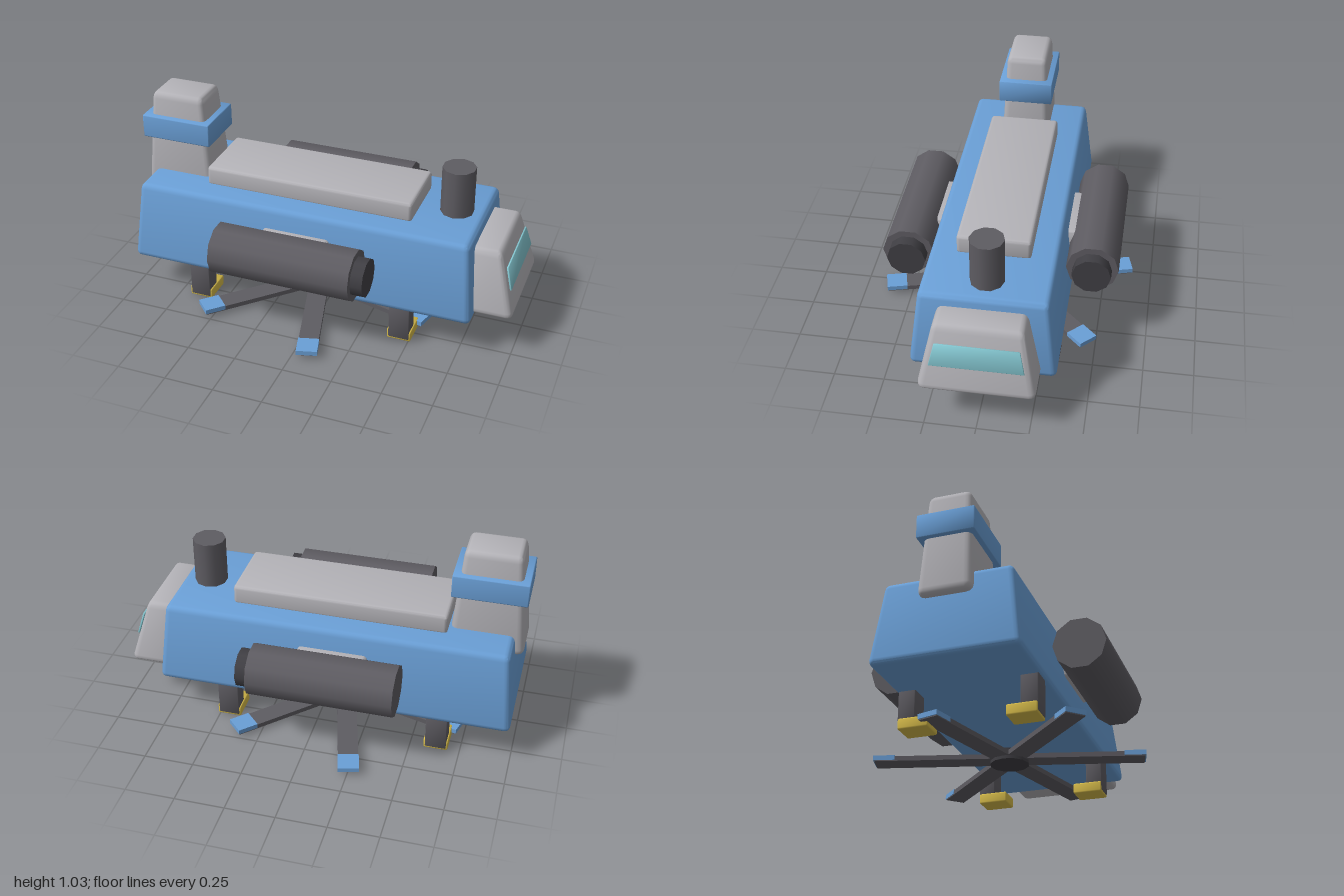
import * as THREE from 'three';
import { toCreasedNormals } from 'three/addons/utils/BufferGeometryUtils.js';
import { RoundedBoxGeometry } from 'three/addons/geometries/RoundedBoxGeometry.js';

const mat = (name, color) => {
  const m = new THREE.MeshStandardMaterial({ color });
  m.name = name;
  return m;
};

export function createModel() {
  const blue = mat('hull blue', 0x6a9fd6);
  const grey = mat('light grey', 0xb4b3b8);
  const dark = mat('dark grey', 0x5e5c62);
  const black = mat('charcoal', 0x403f44);
  const yellow = mat('yellow', 0xd6bb4a);
  const teal = mat('window teal', 0x84c6d0);

  const root = new THREE.Group();
  root.name = 'hovercraft';

  const add = (name, geometry, material, x, y, z, parent = root) => {
    const mesh = new THREE.Mesh(geometry, material);
    mesh.name = name;
    mesh.position.set(x, y, z);
    parent.add(mesh);
    return mesh;
  };

  // Bevelled box whose upper end narrows to topW x topD and may slide in x
  const taperBox = (w, h, d, r, topW = w, topD = d, shift = 0) => {
    const g = new RoundedBoxGeometry(w, h, d, 2, r);
    const p = g.attributes.position;
    for (let i = 0; i < p.count; i++) {
      const t = p.getY(i) / h + 0.5;
      p.setX(i, p.getX(i) * THREE.MathUtils.lerp(1, topW / w, t) + shift * t);
      p.setZ(i, p.getZ(i) * THREE.MathUtils.lerp(1, topD / d, t));
    }
    return toCreasedNormals(g, 0.7);
  };

  // Hull and roof slab
  add('hull', taperBox(1.8, 0.415, 0.71, 0.03, 1.72, 0.61), blue, -0.09, 0.395, 0);
  add('roofSlab', taperBox(1.08, 0.105, 0.36, 0.018), grey, -0.09, 0.643, 0);

  // Cab with a sloping nose and window
  add('cab', taperBox(0.25, 0.335, 0.565, 0.035, 0.15, 0.42, -0.045), grey, 0.875, 0.3775, 0);
  const cabWindow = add('cabWindow', taperBox(0.009, 0.114, 0.445, 0.003, 0.009, 0.395),
    teal, 0.953, 0.405, 0);
  cabWindow.rotation.z = Math.atan2(0.09, 0.335);

  // Tail tower with its band
  add('tailTower', taperBox(0.375, 0.54, 0.26, 0.035, 0.275, 0.208), grey, -0.815, 0.758, 0);
  add('towerBand', taperBox(0.368, 0.12, 0.28, 0.006), blue, -0.815, 0.845, 0);

  // Chimney
  add('chimney', new THREE.CylinderGeometry(0.083, 0.083, 0.26, 10), dark, 0.63, 0.715, 0);

  const along = (r, length) => new THREE.CylinderGeometry(r, r, length, 10).rotateZ(Math.PI / 2);
  for (const s of [1, -1]) {
    // Side pods on short pylons
    const side = s > 0 ? 'left' : 'right';
    add(side + 'Pod', along(0.13, 0.72), dark, -0.09, 0.425, s * 0.46);
    add(side + 'Nozzle', along(0.097, 0.08), black, 0.29, 0.425, s * 0.46);
    add(side + 'Pylon', taperBox(0.35, 0.14, 0.13, 0.02), grey, -0.095, 0.425, s * 0.325);

    // Landing legs with inward feet
    for (const x of [-0.63, 0.45]) {
      add('leg', taperBox(0.108, 0.24, 0.085, 0.008), dark, x, 0.13, s * 0.292);
      add('foot', taperBox(0.122, 0.054, 0.147, 0.008), yellow, x, 0.027, s * 0.257);
    }
  }

  // Rotor below the hull
  const rotor = new THREE.Group();
  rotor.name = 'rotor';
  rotor.position.set(-0.09, 0, 0);
  root.add(rotor);
  add('hub', new THREE.CylinderGeometry(0.095, 0.095, 0.055, 12), black, 0, 0.034, 0, rotor);
  for (let i = 0; i < 6; i++) {
    const arm = new THREE.Group();
    arm.name = 'blade';
    arm.rotation.y = THREE.MathUtils.degToRad(15 + i * 60) * -1;
    add('bladeArm', new THREE.BoxGeometry(0.655, 0.024, 0.1), dark, 0.3275, 0.034, 0, arm);
    add('bladeTip', new THREE.BoxGeometry(0.105, 0.024, 0.104), blue, 0.6075, 0.039, 0, arm);
    rotor.add(arm);
  }

  return root;
}
